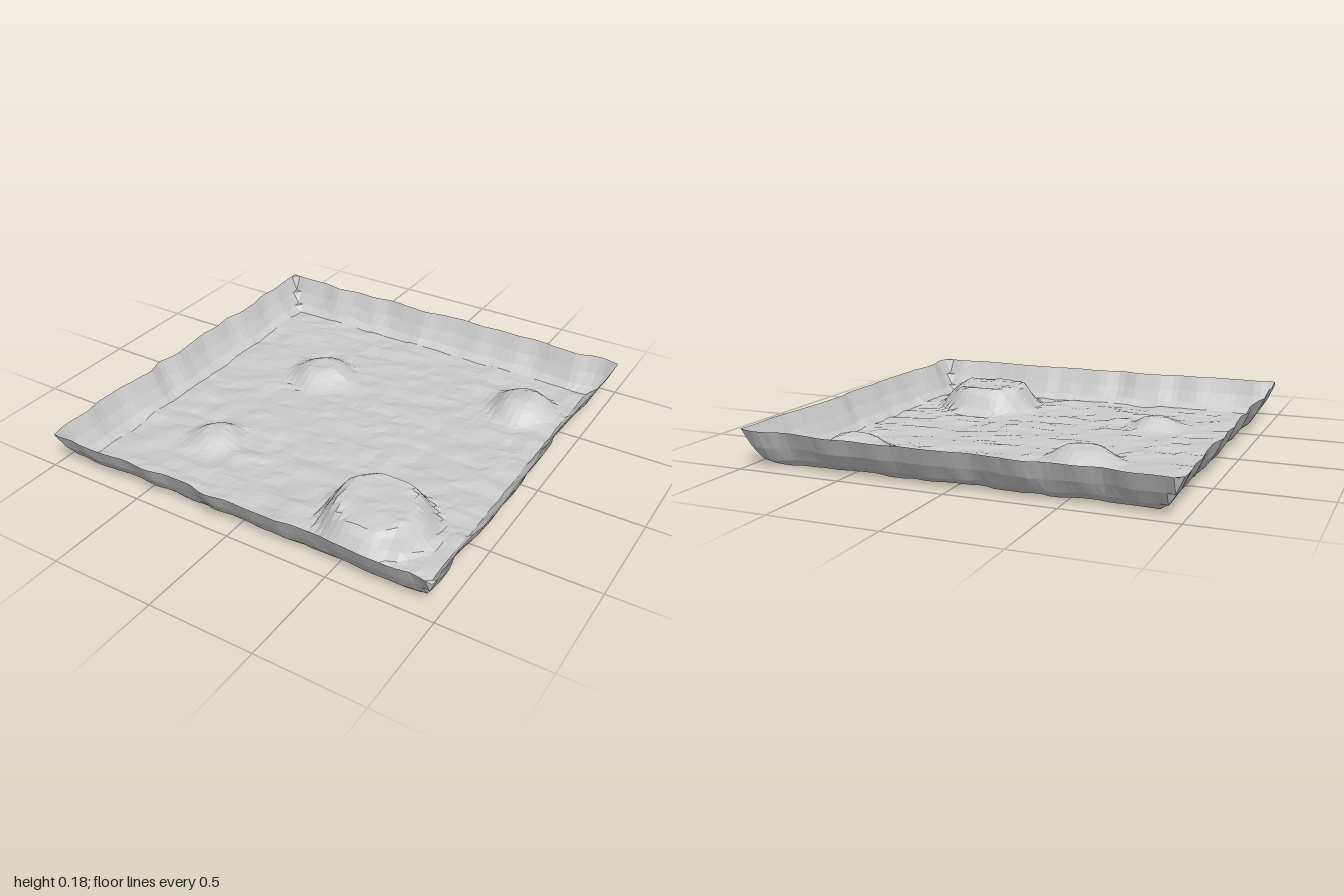
import * as THREE from 'three';

const GROUND = 0.024, RIM = 0.19, HALF = 0.988, FOOT = 0.88;

// Mounds: centre x, z, outer radius, radius of the flat top, height
const mounds = [
  [0.51, 0.59, 0.29, 0.17, 0.125],
  [-0.37, -0.34, 0.21, 0.05, 0.07],
  [0.66, -0.58, 0.20, 0.06, 0.075],
  [-0.48, 0.44, 0.17, 0.03, 0.06],
];

// Seeded lattice noise in the range -1 to 1
function hash(i, j) {
  let n = Math.imul(i + 101, 374761393) + Math.imul(j + 57, 668265263);
  n = Math.imul(n ^ (n >>> 13), 1274126177);
  return ((n ^ (n >>> 16)) >>> 0) / 2147483648 - 1;
}

function noise(x, y) {
  const i = Math.floor(x), j = Math.floor(y);
  const u = THREE.MathUtils.smoothstep(x - i, 0, 1);
  const v = THREE.MathUtils.smoothstep(y - j, 0, 1);
  const { lerp } = THREE.MathUtils;
  return lerp(
    lerp(hash(i, j), hash(i + 1, j), u),
    lerp(hash(i, j + 1), hash(i + 1, j + 1), u), v);
}

function moundHeight(x, z) {
  let y = 0;
  for (const [cx, cz, outer, top, height] of mounds) {
    const r = Math.hypot(x - cx, z - cz) * (1 + 0.08 * noise(x * 8, z * 8));
    y += height * (1 - THREE.MathUtils.smoothstep(r, top, outer));
  }
  return y;
}

export function createModel() {
  const group = new THREE.Group();

  // One thin sheet: rough floor, raised mounds and a flared rim
  const sheet = new THREE.PlaneGeometry(2 * HALF, 2 * HALF, 56, 56).rotateX(-Math.PI / 2);
  const p = sheet.attributes.position;
  for (let i = 0; i < p.count; i++) {
    const x = p.getX(i), z = p.getZ(i);
    const edge = Math.max(Math.abs(x), Math.abs(z));
    const t = Math.max(0, (edge - FOOT) / (HALF - FOOT));
    const rough = 0.008 * noise(x * 7, z * 12) + 0.006 * noise(x * 16 + 40, z * 22);
    const y = GROUND + (RIM - GROUND) * Math.pow(t, 1.6)
      + rough * (1 - 0.8 * t) + moundHeight(x, z);

    // The rim waves in and out along each side
    const wave = 0.016 * Math.min(1, t * 2);
    const dx = Math.abs(x) > FOOT ? wave * noise(z * 9, Math.sign(x) * 5) : 0;
    const dz = Math.abs(z) > FOOT ? wave * noise(x * 9, Math.sign(z) * 9) : 0;
    p.setXYZ(i, THREE.MathUtils.clamp(x + dx, -1, 1), Math.max(0, y),
      THREE.MathUtils.clamp(z + dz, -1, 1));
  }
  sheet.computeVertexNormals();

  const terrain = new THREE.Mesh(sheet, new THREE.MeshStandardMaterial({
    color: 0xcccccc, flatShading: true, side: THREE.DoubleSide,
  }));
  terrain.name = 'terrainSheet';
  group.add(terrain);
  return group;
}
